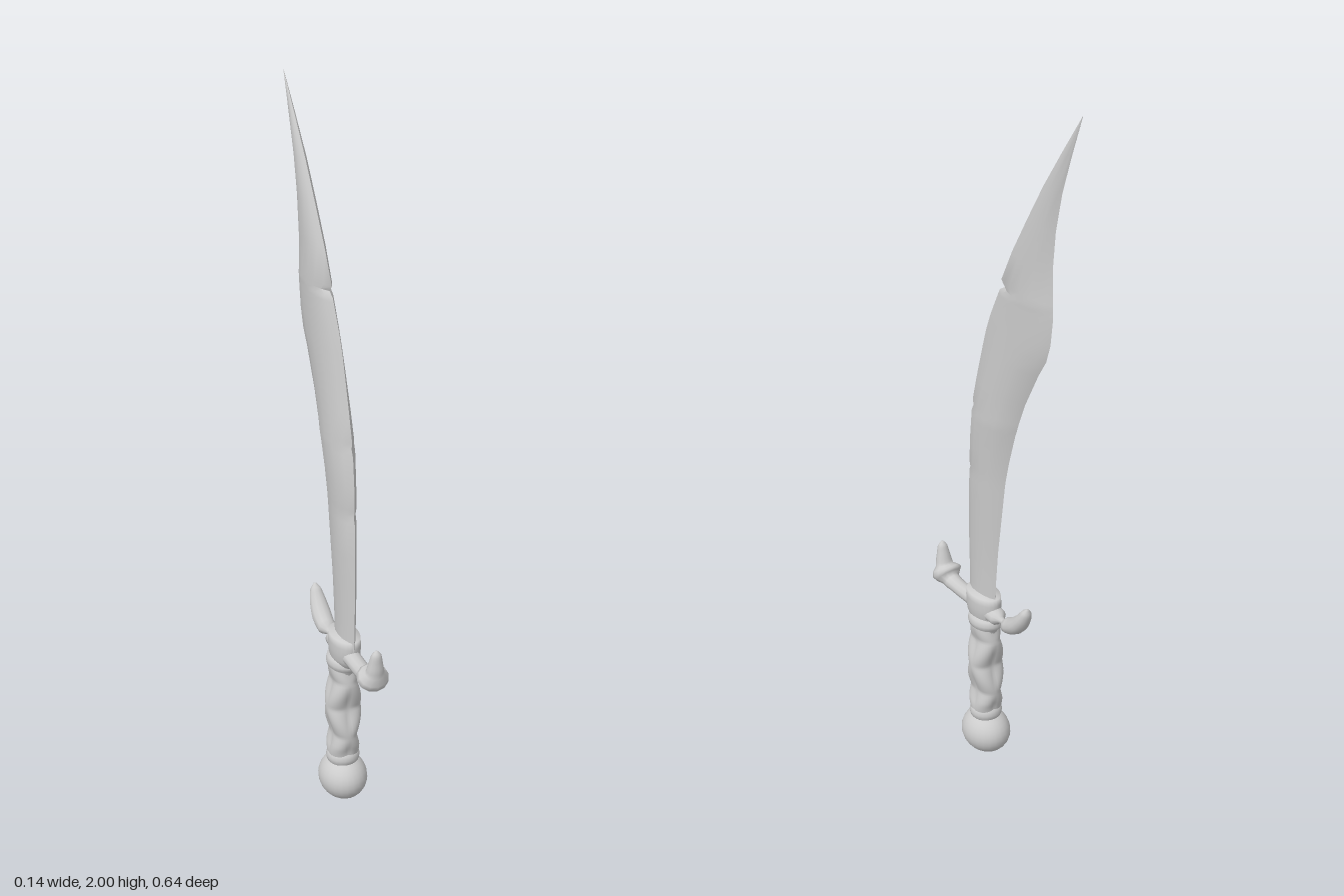
import * as THREE from 'three';
import { toCreasedNormals } from 'three/addons/utils/BufferGeometryUtils.js';

const GRIP_Z = 0.085;

// Skin a list of equal-length closed rings, with end caps
function loft(rings) {
  const n = rings[0].length, pos = [], idx = [];
  rings.forEach(r => r.forEach(p => pos.push(p.x, p.y, p.z)));
  for (let i = 0; i < rings.length - 1; i++) {
    for (let j = 0; j < n; j++) {
      const a = i * n + j, b = i * n + (j + 1) % n;
      idx.push(a, a + n, b, b, a + n, b + n);
    }
  }
  const last = (rings.length - 1) * n;
  for (let j = 1; j < n - 1; j++) {
    idx.push(0, j, j + 1, last, last + j + 1, last + j);
  }
  const g = new THREE.BufferGeometry();
  g.setAttribute('position', new THREE.Float32BufferAttribute(pos, 3));
  g.setIndex(idx);
  g.computeVertexNormals();
  return g;
}

// Curved blade: each row is [height, front edge z, back edge z, half thickness]
function bladeGeometry() {
  const rows = [
    [0.49, 0.16, 0.035, 0.022], [0.6, 0.163, 0.03, 0.021], [0.7, 0.165, 0.02, 0.023],
    [0.8, 0.164, 0.005, 0.025], [0.9, 0.161, -0.01, 0.027], [0.92, 0.153, -0.013, 0.027],
    [0.94, 0.159, -0.017, 0.028], [1.0, 0.156, -0.032, 0.03], [1.09, 0.146, -0.06, 0.034],
    [1.11, 0.136, -0.068, 0.034], [1.13, 0.139, -0.075, 0.033], [1.2, 0.12, -0.105, 0.031],
    [1.3, 0.09, -0.16, 0.028], [1.35, 0.074, -0.193, 0.027], [1.4, 0.053, -0.21, 0.026],
    [1.47, 0.017, -0.219, 0.025], [1.482, 0.01, -0.219, 0.025], [1.494, -0.012, -0.219, 0.025],
    [1.51, 0.004, -0.218, 0.024], [1.6, -0.044, -0.215, 0.022], [1.7, -0.107, -0.225, 0.018],
    [1.8, -0.172, -0.248, 0.013], [1.9, -0.245, -0.283, 0.007], [2.0, -0.32, -0.321, 0.0005]
  ];
  const half = [[0.12, 0.5], [0.3, 0.92], [0.5, 1], [0.7, 0.88], [0.9, 0.45]];
  const section = [[0, 0], ...half, [1, 0],
    ...half.map(([t, w]) => [t, -w]).reverse()];
  const rings = rows.map(([y, f, b, h]) => section.map(([t, w]) =>
    new THREE.Vector3(w * h, y, THREE.MathUtils.lerp(f, b, t))));
  return toCreasedNormals(loft(rings.map(r => r.reverse())), 0.7);
}

// Tapering guard arm swept in the yz plane: points are [z, y, radius]
function armGeometry(points) {
  const path = new THREE.CatmullRomCurve3(points.map(p => new THREE.Vector3(0, p[1], p[0])));
  const radii = new THREE.CatmullRomCurve3(points.map(p => new THREE.Vector3(p[2], 0, 0)));
  const side = new THREE.Vector3(1, 0, 0), rings = [], steps = 24, sides = 12;
  for (let i = 0; i <= steps; i++) {
    const t = i / steps, c = path.getPoint(t), r = Math.max(radii.getPoint(t).x, 0.002);
    const up = path.getTangent(t).cross(side);
    const ring = [];
    for (let j = 0; j < sides; j++) {
      const a = -j / sides * Math.PI * 2;
      ring.push(c.clone().addScaledVector(side, Math.cos(a) * r * 1.15)
        .addScaledVector(up, Math.sin(a) * r));
    }
    rings.push(ring);
  }
  return loft(rings);
}

// Grip bound with cords that spiral both ways and cross
function gripGeometry() {
  const rows = 48, sides = 36, rings = [];
  for (let i = 0; i <= rows; i++) {
    const t = i / rows, y = 0.13 + t * 0.31, ring = [];
    const fade = Math.min(1, 6 * t, 6 * (1 - t));
    for (let j = 0; j < sides; j++) {
      const a = -j / sides * Math.PI * 2;
      const c1 = Math.cos(2 * a + t * 11), c2 = Math.cos(2 * a - t * 11);
      const r = 0.041 + 0.004 * Math.sin(t * Math.PI) + 0.009 * fade * (Math.max(c1, c2) - 0.35);
      ring.push(new THREE.Vector3(Math.cos(a) * r, y, Math.sin(a) * r));
    }
    rings.push(ring);
  }
  return loft(rings);
}

export function createModel() {
  const group = new THREE.Group();
  const material = new THREE.MeshStandardMaterial({ color: 0xcccccc, side: THREE.DoubleSide });
  const add = (name, geometry, x = 0, y = 0, z = 0) => {
    const mesh = new THREE.Mesh(geometry, material);
    mesh.name = name;
    mesh.position.set(x, y, z);
    group.add(mesh);
    return mesh;
  };
  const lathe = pts => new THREE.LatheGeometry(pts.map(p => new THREE.Vector2(...p)), 24);

  add('blade', bladeGeometry());

  // Crossguard: two upturned arms and a rounded centre
  add('frontGuardArm', armGeometry([
    [0.07, 0.493, 0.03], [0.15, 0.49, 0.022], [0.22, 0.489, 0.021], [0.27, 0.496, 0.024],
    [0.297, 0.525, 0.024], [0.305, 0.565, 0.017], [0.308, 0.59, 0.012], [0.308, 0.602, 0.003]
  ]));
  add('rearGuardArm', armGeometry([
    [0.1, 0.493, 0.03], [0.02, 0.488, 0.023], [-0.03, 0.49, 0.023], [-0.07, 0.51, 0.025],
    [-0.1, 0.543, 0.021], [-0.116, 0.572, 0.014], [-0.122, 0.588, 0.003]
  ]));
  const centre = add('guardCentre', lathe([
    [0, 0.44], [0.05, 0.452], [0.062, 0.475], [0.066, 0.5], [0.066, 0.52], [0.064, 0.54], [0, 0.548]
  ]), 0, 0, GRIP_Z + 0.008);
  centre.scale.x = 0.62;

  // Collar, grip and lower ring
  add('collar', lathe([
    [0.038, 0.405], [0.044, 0.415], [0.046, 0.432], [0.055, 0.44], [0.058, 0.452],
    [0.054, 0.466], [0.04, 0.475]
  ]), 0, 0, GRIP_Z).scale.x = 0.8;
  add('grip', gripGeometry(), 0, 0, GRIP_Z).scale.z = 1.06;
  add('lowerRing', lathe([
    [0.04, 0.12], [0.046, 0.128], [0.048, 0.14], [0.045, 0.152], [0.038, 0.16]
  ]), 0, 0, GRIP_Z);

  // Ball pommel, slightly flattened sideways
  const pommel = add('pommel', new THREE.SphereGeometry(1, 24, 16), 0, 0.068, GRIP_Z);
  pommel.scale.set(0.069, 0.068, 0.08);
  return group;
}
